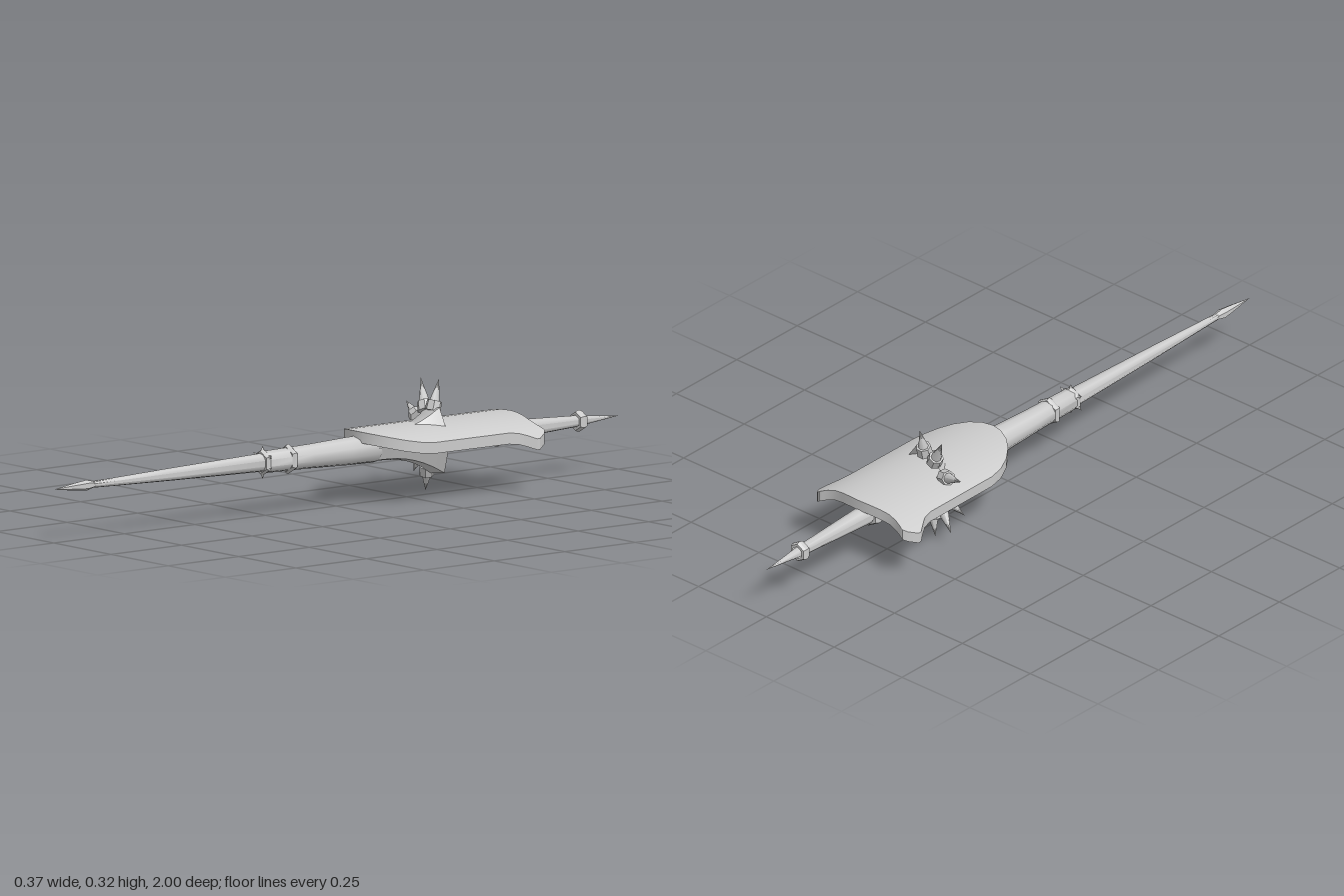
import * as THREE from 'three';
import { toCreasedNormals } from 'three/addons/utils/BufferGeometryUtils.js';

const AXIS_Y = 0.152;
const steel = new THREE.MeshStandardMaterial({ color: 0xcccccc, side: THREE.DoubleSide });

function addMesh(parent, name, geometry) {
  const mesh = new THREE.Mesh(geometry, steel);
  mesh.name = name;
  parent.add(mesh);
  return mesh;
}

// Skin a row of cross-sections, each a closed loop of [x, y, z] points
function loft(rings, capped, crease) {
  const n = rings[0].length;
  const index = [];
  for (let i = 0; i < rings.length - 1; i++) {
    for (let j = 0; j < n; j++) {
      const k = (j + 1) % n;
      const a = i * n + j, b = a + n, c = (i + 1) * n + k, d = i * n + k;
      index.push(a, b, c, a, c, d);
    }
  }
  if (capped) {
    const e = (rings.length - 1) * n;
    for (let j = 1; j < n - 1; j++) index.push(0, j, j + 1, e, e + j + 1, e + j);
  }
  const g = new THREE.BufferGeometry();
  g.setAttribute('position', new THREE.Float32BufferAttribute(rings.flat(2), 3));
  g.setIndex(index);
  return toCreasedNormals(g, crease);
}

// Turned part along the z axis from [radius, z] points, back to front
function turned(profile, sides, crease = 0.9) {
  const g = new THREE.LatheGeometry(profile.map(([r, z]) => new THREE.Vector2(r, z)), sides);
  g.rotateX(Math.PI / 2);
  return toCreasedNormals(g, crease).translate(0, AXIS_Y, 0);
}

function collar(parent, name, z, radius, width) {
  const h = width / 2;
  addMesh(parent, name, turned([
    [radius * 0.6, z - h], [radius * 0.88, z - h], [radius, z - h * 0.3],
    [radius, z + h * 0.3], [radius * 0.88, z + h], [radius * 0.6, z + h],
  ], 6, 0.3));
}

// Cone from base to tip
function coneBetween(base, tip, radius, sides) {
  const dir = tip.clone().sub(base);
  const g = new THREE.ConeGeometry(radius, dir.length(), sides);
  g.applyQuaternion(new THREE.Quaternion().setFromUnitVectors(new THREE.Vector3(0, 1, 0), dir.normalize()));
  const mid = base.clone().add(tip).multiplyScalar(0.5);
  return g.translate(mid.x, mid.y, mid.z);
}

// Curved shield: each column is [half width, back z, front z]
function shieldGeometry() {
  const half = [
    [0.183, -0.575, -0.565], [0.168, -0.602, -0.54], [0.157, -0.612, -0.52],
    [0.151, -0.612, -0.49], [0.15, -0.611, -0.235], [0.143, -0.609, -0.19],
    [0.125, -0.605, -0.147], [0.1, -0.603, -0.112], [0.07, -0.608, -0.085],
    [0.035, -0.614, -0.068],
  ];
  const columns = [
    ...half.map(([x, b, f]) => [-x, b, f]),
    [0, -0.617, -0.062],
    ...half.slice().reverse(),
  ];
  const rings = columns.map(([x, back, front]) => {
    const top = 0.207 - 1.1 * x * x - 13 * x ** 4;
    const low = top - 0.031;
    return [[x, top, front], [x, top, back], [x, low, back], [x, low, front]];
  });
  return loft(rings, true, 0.5);
}

const rimZ = (x) => -0.345 + 0.22 * x;

// Flared guard, opening from the round shaft to an uneven seven-cornered rim
function guardGeometry() {
  const rim = [
    [0.1, 0.165], [0.037, 0.248], [-0.045, 0.238], [-0.096, 0.2],
    [-0.096, 0.125], [-0.02, 0.056], [0.067, 0.07],
  ];
  const rings = [];
  for (let i = 0; i <= 8; i++) {
    const t = i / 8;
    const flare = t ** 3;
    rings.push(rim.map(([x, y]) => {
      const a = Math.atan2(y - AXIS_Y, x);
      return [
        THREE.MathUtils.lerp(0.04 * Math.cos(a), x, flare),
        THREE.MathUtils.lerp(AXIS_Y + 0.04 * Math.sin(a), y, flare),
        THREE.MathUtils.lerp(-0.12, rimZ(x), t),
      ];
    }));
  }
  return loft(rings, false, 0.6);
}

export function createModel() {
  const model = new THREE.Group();
  model.name = 'lanceWithShield';

  // Tapering shaft with a point at each end
  addMesh(model, 'rearShaft', turned([
    [0, -1], [0.014, -0.87], [0.016, -0.85], [0.028, -0.6], [0.028, -0.15],
  ], 10));
  addMesh(model, 'grip', turned([
    [0.028, -0.15], [0.041, -0.13], [0.039, -0.03], [0.034, 0.1], [0.031, 0.26], [0.026, 0.265],
  ], 10));
  addMesh(model, 'frontShaft', turned([
    [0.026, 0.26], [0.018, 0.58], [0.009, 0.87],
  ], 10));
  addMesh(model, 'lanceTip', turned([
    [0.009, 0.86], [0.015, 0.885], [0.01, 0.93], [0, 1],
  ], 6));

  // Collars
  collar(model, 'tailCollar', -0.86, 0.03, 0.024);
  collar(model, 'rearCollar', -0.57, 0.042, 0.03);
  collar(model, 'gripCollar', 0.17, 0.041, 0.018);
  collar(model, 'spikedCollar', 0.26, 0.036, 0.018);
  for (let i = 0; i < 6; i++) {
    const a = (i / 6) * Math.PI * 2 + Math.PI / 6;
    const at = (r) => new THREE.Vector3(r * Math.cos(a), AXIS_Y + r * Math.sin(a), 0.26);
    addMesh(model, 'collarSpike', coneBetween(at(0.028), at(0.046), 0.009, 4));
  }

  addMesh(model, 'shield', shieldGeometry());
  addMesh(model, 'guard', guardGeometry());

  // Spikes with stubby sockets round the right side of the rim: base x, y, then tip x, y, z
  const spikes = [
    [0.004, 0.235, 0, 0.321, -0.365],
    [-0.038, 0.228, -0.086, 0.313, -0.37],
    [-0.083, 0.203, -0.175, 0.235, -0.39],
    [-0.088, 0.137, -0.183, 0.13, -0.385],
    [-0.065, 0.11, -0.125, 0.045, -0.375],
    [-0.03, 0.076, -0.053, 0.003, -0.36],
  ];
  for (const [bx, by, tx, ty, tz] of spikes) {
    const base = new THREE.Vector3(bx, by, rimZ(bx) + 0.005);
    const tip = new THREE.Vector3(tx, ty, tz);
    const dir = tip.clone().sub(base).normalize();
    const spike = new THREE.Group();
    spike.name = 'guardSpike';
    addMesh(spike, 'spikeCone', coneBetween(base, tip, 0.021, 8));
    const socket = addMesh(spike, 'spikeSocket',
      toCreasedNormals(new THREE.CylinderGeometry(0.021, 0.023, 0.028, 7), 0.6));
    socket.position.copy(base).addScaledVector(dir, 0.014);
    socket.quaternion.setFromUnitVectors(new THREE.Vector3(0, 1, 0), dir);
    model.add(spike);
  }
  return model;
}
